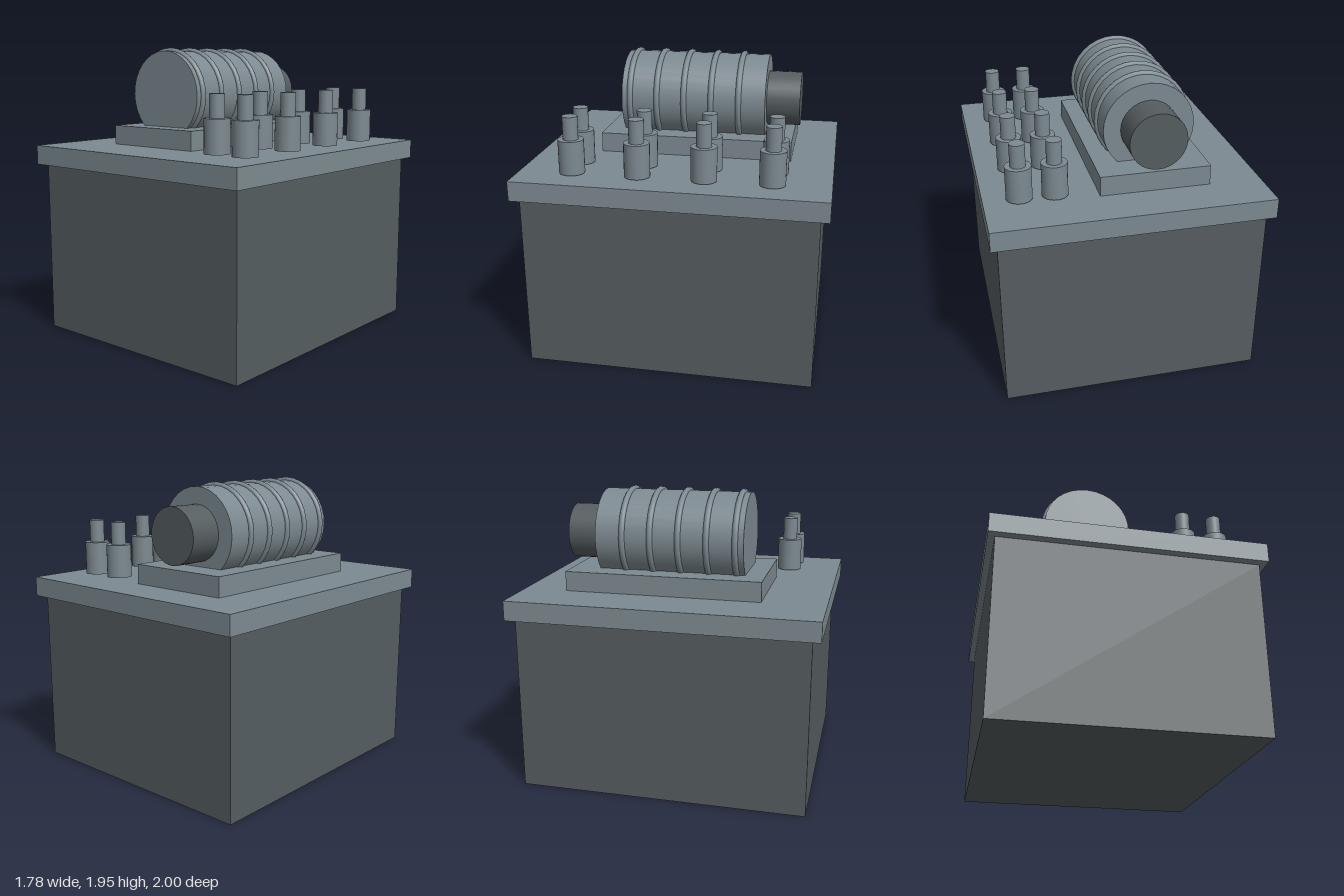
import * as THREE from 'three';

export function createModel() {
  const model = new THREE.Group();
  model.name = 'transformerUnit';

  const lightGrey = new THREE.MeshStandardMaterial({ color: 0x7d8a91 });
  lightGrey.name = 'light steel grey';
  const darkGrey = new THREE.MeshStandardMaterial({ color: 0x555d60 });
  darkGrey.name = 'dark steel grey';

  const add = (name, geometry, material, x, y, z, parent = model) => {
    const mesh = new THREE.Mesh(geometry, material);
    mesh.name = name;
    mesh.position.set(x, y, z);
    parent.add(mesh);
    return mesh;
  };

  // Housing, overhanging lid and plinth
  add('housing', new THREE.BoxGeometry(1.69, 1.16, 1.89), darkGrey, 0, 0.58, 0);
  add('lid', new THREE.BoxGeometry(1.78, 0.13, 2), lightGrey, 0, 1.225, 0);
  add('plinth', new THREE.BoxGeometry(0.715, 0.13, 1.3), lightGrey, -0.188, 1.355, -0.06);

  // Horizontal drum with its rear cap and ribs
  const drum = new THREE.Group();
  drum.name = 'drum';
  drum.position.set(-0.188, 1.635, 0);
  model.add(drum);
  const lengthwise = (radius, length) =>
    new THREE.CylinderGeometry(radius, radius, length, 32).rotateX(Math.PI / 2);
  add('drumBody', lengthwise(0.295, 0.98), lightGrey, 0, 0, -0.03, drum);
  add('drumRearCap', lengthwise(0.184, 0.24), darkGrey, 0, 0, -0.625, drum);
  const ribGeometry = new THREE.TorusGeometry(0.295, 0.02, 10, 32);
  for (let i = 0; i < 5; i++) {
    add('drumRib', ribGeometry, lightGrey, 0, 0, -0.34 + i * 0.186, drum);
  }

  // Two rows of stepped terminals
  const baseGeometry = new THREE.CylinderGeometry(0.083, 0.083, 0.22, 24);
  const pinGeometry = new THREE.CylinderGeometry(0.049, 0.049, 0.15, 24);
  for (const x of [0.44, 0.663]) {
    for (let i = 0; i < 4; i++) {
      const terminal = new THREE.Group();
      terminal.name = 'terminal';
      terminal.position.set(x, 1.3, -0.634 + i * 0.427);
      model.add(terminal);
      add('terminalBase', baseGeometry, lightGrey, 0, 0.11, 0, terminal);
      add('terminalPin', pinGeometry, lightGrey, 0, 0.295, 0, terminal);
    }
  }

  return model;
}
